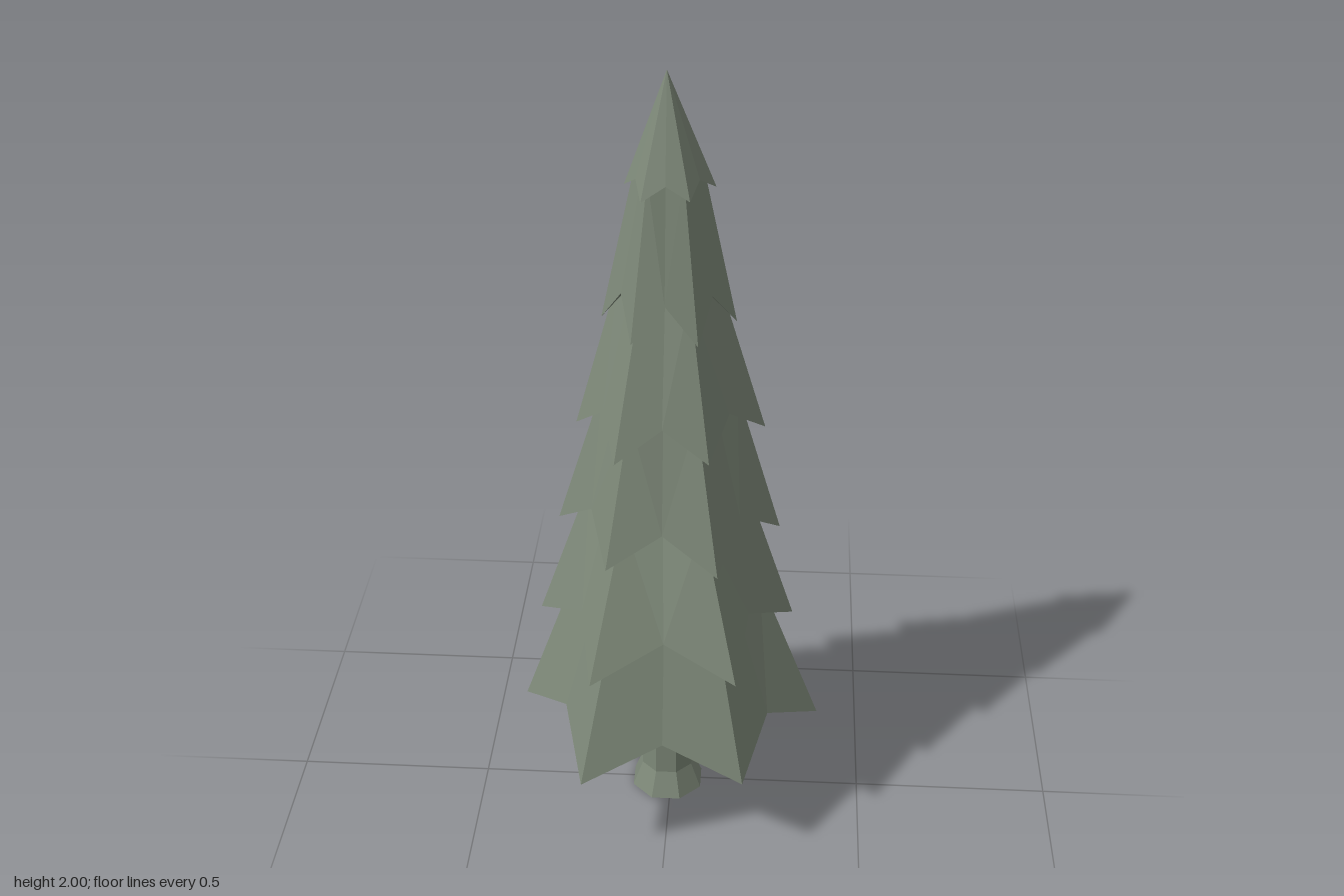
import * as THREE from 'three';

// Each tier: tip height, valley height, inward pull of the valleys, taper towards the next tier,
// and six branch tips [x, z] running clockwise from the right side
const TIERS = [
  { tip: 0.258, valley: 0.35, pull: 0.88, taper: 0.73, pts: [[-0.385, -0.018], [-0.2, -0.352], [0.195, -0.335], [0.383, 0.018], [0.197, 0.322], [-0.205, 0.348]] },
  { tip: 0.548, valley: 0.635, pull: 0.83, taper: 0.71, pts: [[-0.335, -0.005], [-0.2, -0.305], [0.158, -0.325], [0.31, -0.02], [0.175, 0.3], [-0.18, 0.322]] },
  { tip: 0.823, valley: 0.915, pull: 0.88, taper: 0.71, pts: [[-0.282, -0.01], [-0.15, -0.262], [0.14, -0.23], [0.27, 0.002], [0.125, 0.242], [-0.145, 0.225]] },
  { tip: 1.11, valley: 1.19, pull: 0.88, taper: 0.73, pts: [[-0.23, 0.01], [-0.13, -0.215], [0.115, -0.192], [0.227, 0.005], [0.1, 0.195], [-0.122, 0.207]] },
  { tip: 1.392, valley: 1.485, pull: 0.89, taper: 0.74, pts: [[-0.165, 0], [-0.085, -0.138], [0.07, -0.135], [0.154, 0.005], [0.07, 0.142], [-0.085, 0.14]] },
  { tip: 1.727, valley: 1.76, pull: 0.9, pts: [[-0.108, -0.003], [-0.057, -0.092], [0.047, -0.092], [0.102, 0], [0.047, 0.09], [-0.063, 0.1]] },
];
const CX = -0.01;

// Ring of 12 points: tips alternating with the valleys between them
function ring(pts, tipY, valleyY, scale, pull) {
  const out = [];
  pts.forEach(([x, z], i) => {
    const [nx, nz] = pts[(i + 1) % 6];
    const mx = (x + nx) / 2, mz = (z + nz) / 2;
    out.push([CX + (x - CX) * scale, tipY, z * scale]);
    out.push([CX + (mx - CX) * scale * pull, valleyY, mz * scale * pull]);
  });
  return out;
}

// Faceted skin through successive rings
function loft(rings) {
  const pos = [];
  for (let r = 0; r + 1 < rings.length; r++) {
    const L = rings[r], U = rings[r + 1], n = L.length;
    for (let i = 0; i < n; i++) {
      const j = (i + 1) % n;
      const tris = i % 2 === 0
        ? [L[j], L[i], U[i], L[j], U[i], U[j]]
        : [L[j], L[i], U[j], L[i], U[i], U[j]];
      tris.forEach((p) => pos.push(...p));
    }
  }
  const geo = new THREE.BufferGeometry();
  geo.setAttribute('position', new THREE.Float32BufferAttribute(pos, 3));
  geo.computeVertexNormals();
  return geo;
}

export function createModel() {
  const group = new THREE.Group();
  const green = new THREE.MeshStandardMaterial({ color: 0x7d8878, flatShading: true, side: THREE.DoubleSide });
  green.name = 'greyGreen';

  const add = (name, geo) => {
    const mesh = new THREE.Mesh(geo, green);
    mesh.name = name;
    group.add(mesh);
    return mesh;
  };

  // Eight-sided trunk with a flared foot, open underneath
  const profile = [[0.097, 0], [0.07, 0.07], [0.065, 0.4]].map(([x, y]) => new THREE.Vector2(x, y));
  const trunk = add('trunk', new THREE.LatheGeometry(profile, 8, Math.PI / 8));
  trunk.position.x = CX;

  // Branch tiers: underside, rim, then a taper up into the next tier
  let inner = ring(TIERS[0].pts, 0.38, 0.38, 0.14, 0.95);
  TIERS.forEach((t, k) => {
    const rim = ring(t.pts, t.tip, t.valley, 1, t.pull);
    const next = TIERS[k + 1];
    const top = next
      ? ring(next.pts, next.valley + 0.015, next.valley + 0.015, t.taper, 0.95)
      : ring(t.pts, 2, 2, 0, 1);
    add('branchTier' + (k + 1), loft([inner, rim, top]));
    inner = top;
  });
  return group;
}
